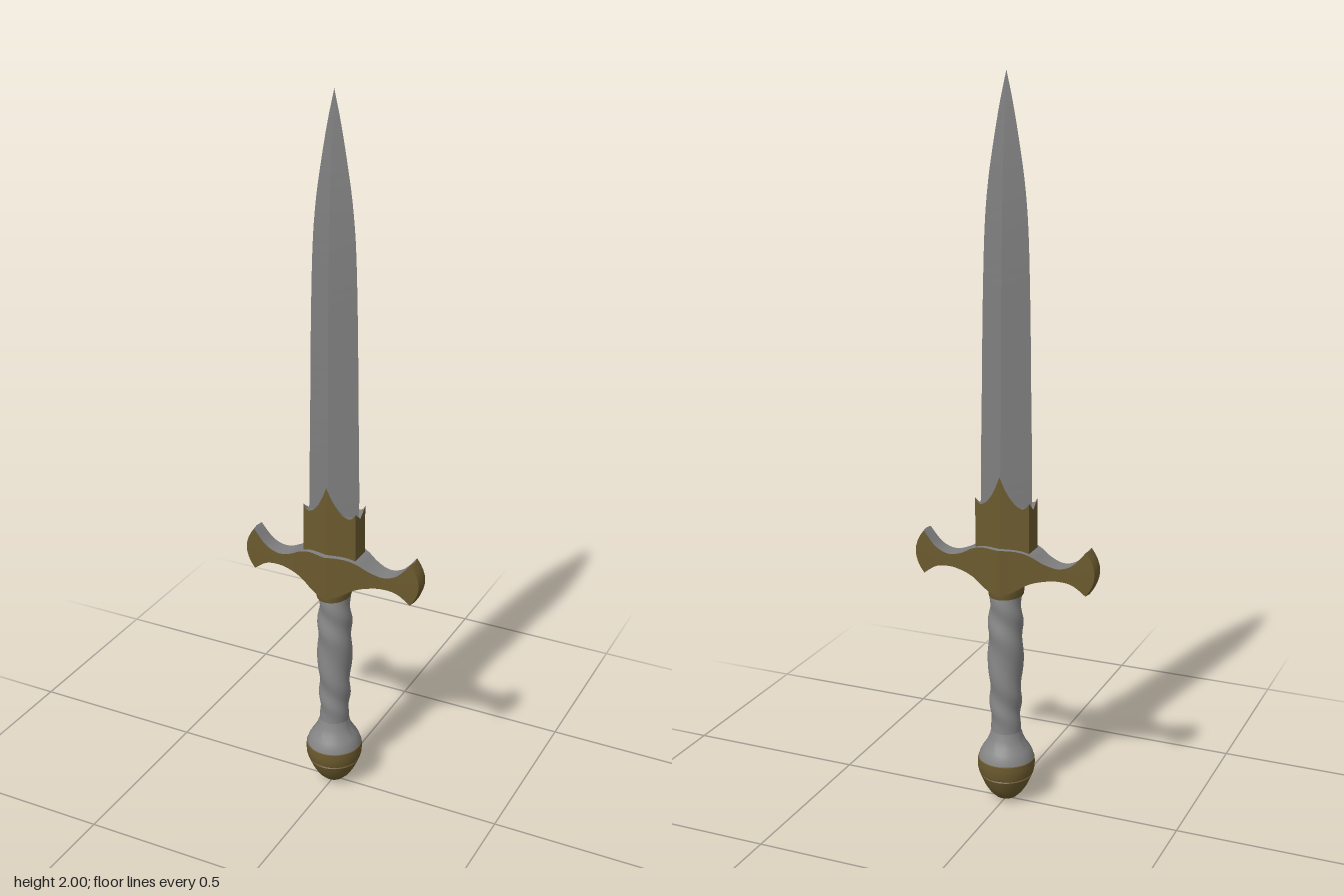
import * as THREE from 'three';
import { mergeVertices, toCreasedNormals } from 'three/addons/utils/BufferGeometryUtils.js';

const mat = (name, color) => Object.assign(new THREE.MeshStandardMaterial({ color }), { name });

// Linear interpolation through [position, value] pairs
function sample(table, t) {
  for (let i = 1; i < table.length; i++) {
    const [t0, a] = table[i - 1], [t1, b] = table[i];
    if (t <= t1) return a + (b - a) * Math.max(0, (t - t0) / (t1 - t0));
  }
  return table[table.length - 1][1];
}

// Smooth curve through the same kind of pairs
function curveTable(points, n = 40) {
  const curve = new THREE.SplineCurve(points.map(p => new THREE.Vector2(...p)));
  return curve.getPoints(n).map(p => [p.x, p.y]);
}

// Move every vertex of a geometry by a rule
function reshape(geo, rule) {
  const p = geo.attributes.position, v = new THREE.Vector3();
  for (let i = 0; i < p.count; i++) {
    rule(v.fromBufferAttribute(p, i));
    p.setXYZ(i, v.x, v.y, v.z);
  }
  geo.computeVertexNormals();
  return geo;
}

function lathe(points) {
  const geo = new THREE.LatheGeometry(points.map(p => new THREE.Vector2(...p)), 40);
  return toCreasedNormals(geo, 0.5);
}

export function createModel() {
  const model = new THREE.Group();
  model.name = 'dagger';
  const steel = mat('steel grey', 0x808080);
  const wrap = mat('grip grey', 0x868686);
  const gold = mat('aged gold', 0x6b5a2e);
  const add = (name, geo, material) => {
    const mesh = new THREE.Mesh(geo, material);
    mesh.name = name;
    model.add(mesh);
  };

  // Blade: diamond section tapering to a point
  const halfWidth = curveTable([[0.78, 0.074], [0.95, 0.074], [1.2, 0.07], [1.4, 0.067],
    [1.6, 0.061], [1.72, 0.051], [1.82, 0.036], [1.92, 0.018], [2, 0]]);
  const halfDepth = curveTable([[0.78, 0.04], [1.2, 0.037], [1.5, 0.033], [1.7, 0.026],
    [1.85, 0.015], [2, 0]]);
  const blade = reshape(new THREE.CylinderGeometry(1, 1, 1, 4, 36, true).toNonIndexed(), v => {
    v.y = 0.78 + 1.22 * (v.y + 0.5);
    v.x *= sample(halfWidth, v.y);
    v.z *= sample(halfDepth, v.y);
  });
  add('blade', blade, steel);

  // Collar around the blade root: ridged faces rising to a central peak
  const collarTop = [[0, 0.955], [0.012, 0.925], [0.025, 0.9], [0.042, 0.878],
    [0.06, 0.868], [0.07, 0.872], [0.078, 0.885]];
  const collar = reshape(new THREE.BoxGeometry(2, 1, 2, 24, 1, 4), v => {
    const s = Math.abs(v.x), across = Math.abs(v.z), up = v.y + 0.5;
    const x = s * 0.078;
    const top = sample(collarTop, x);
    const dip = top - (1 - across) * (top - 0.86);
    v.x *= 0.078;
    v.z *= 0.048 - 0.018 * s;
    v.y = 0.7 + up * (dip - 0.7);
  });
  add('bladeCollar', collar, [gold, gold, steel, gold, gold, gold]);

  // Crossguard: flared arms with pale upper faces
  const guardTop = curveTable([[0, 0.755], [0.05, 0.753], [0.085, 0.742], [0.12, 0.722],
    [0.16, 0.712], [0.2, 0.727], [0.236, 0.768]]);
  const guardBottom = curveTable([[0, 0.622], [0.04, 0.638], [0.08, 0.662], [0.12, 0.673],
    [0.16, 0.677], [0.2, 0.67], [0.236, 0.645]]);
  const guardDepth = [[0, 0.065], [0.03, 0.056], [0.085, 0.041], [0.11, 0.034],
    [0.14, 0.028], [0.18, 0.024], [0.236, 0.022]];
  const guard = reshape(new THREE.BoxGeometry(2, 2, 2, 48, 8, 2), v => {
    const s = Math.abs(v.x), x = s * 0.236;
    const top = sample(guardTop, x), bottom = sample(guardBottom, x);
    const bulge = 0.025 * (1 - v.y * v.y) * Math.max(0, (s - 0.75) / 0.25);
    const round = s > 0.99 ? 0.004 * (1 - v.z * v.z) : 0;
    v.y = bottom + (top - bottom) * (v.y + 1) / 2;
    v.z *= sample(guardDepth, x);
    v.x = Math.sign(v.x) * (x + bulge + round);
  });
  add('crossguard', guard, [gold, gold, steel, gold, gold, gold]);

  // Ferrule between guard and grip
  const ferrule = lathe([[0.04, 0.612], [0.05, 0.612], [0.052, 0.625], [0.052, 0.64],
    [0.046, 0.665], [0, 0.67]]);
  ferrule.scale(0.92, 1, 1.15);
  add('ferrule', ferrule, gold);

  // Grip: gently swollen handle with winding ridges
  const gripRadius = curveTable([[0.19, 0.041], [0.28, 0.042], [0.38, 0.046], [0.48, 0.048],
    [0.56, 0.045], [0.64, 0.042]]);
  let grip = new THREE.CylinderGeometry(1, 1, 1, 36, 60, true);
  grip.deleteAttribute('uv');
  grip.deleteAttribute('normal');
  grip = reshape(mergeVertices(grip), v => {
    const a = Math.atan2(v.x, v.z), y = 0.19 + 0.45 * (v.y + 0.5);
    const fade = Math.min(1, (y - 0.19) / 0.08);
    const ridge = 0.0028 * fade * Math.sin(2 * a + y * 55 + 0.8 * Math.sin(y * 23));
    const r = sample(gripRadius, y) + ridge;
    v.set(v.x * r + 0.002 * fade, y, v.z * r);
  });
  add('grip', grip, wrap);

  // Pommel: pale flared neck over a gold rounded cap with a shallow groove
  add('pommelNeck', lathe([[0.077, 0.128], [0.074, 0.142], [0.066, 0.157], [0.055, 0.173],
    [0.047, 0.19], [0.042, 0.21]]), wrap);
  add('pommelCap', lathe([[0, 0.003], [0.015, 0.004], [0.03, 0.012], [0.046, 0.028], [0.059, 0.048],
    [0.069, 0.07], [0.073, 0.08], [0.071, 0.083], [0.076, 0.087], [0.079, 0.1],
    [0.08, 0.115], [0.079, 0.13], [0.07, 0.134]]), gold);

  // Stand the pommel exactly on the floor
  model.children.filter(m => m.name === 'pommelCap').forEach(m => m.geometry.translate(0, -0.003, 0));
  return model;
}
